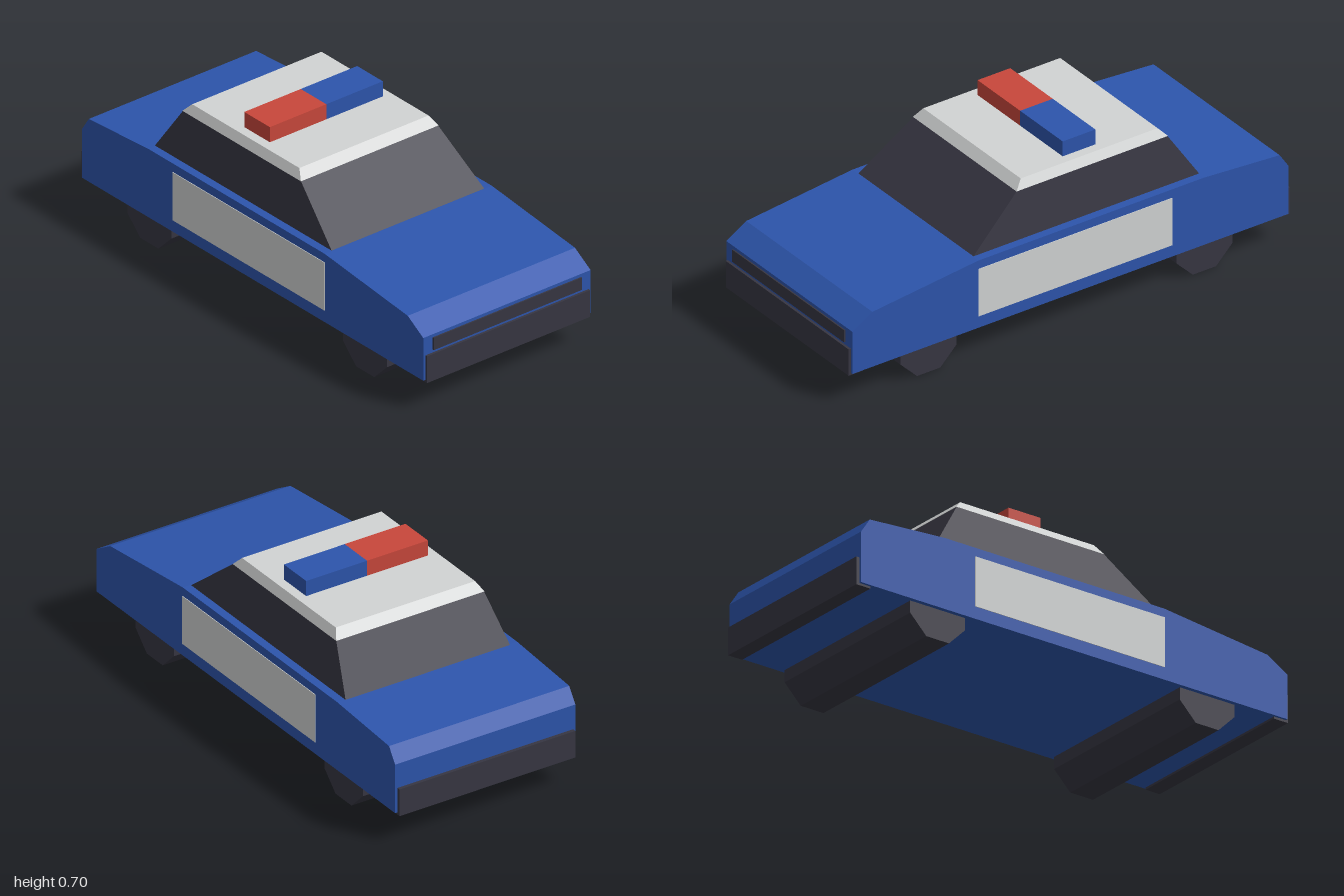
import * as THREE from 'three';

export function createModel() {
  const car = new THREE.Group();
  car.name = 'patrolCar';

  const material = (name, color) => {
    const m = new THREE.MeshStandardMaterial({ color });
    m.name = name;
    return m;
  };
  const blue = material('blue paint', 0x2d55ac);
  const dark = material('dark trim', 0x373642);
  const light = material('light grey paint', 0xd2d4d4);
  const red = material('red lamp', 0xc8473b);

  const add = (name, geometry, mat) => {
    const mesh = new THREE.Mesh(geometry, mat);
    mesh.name = name;
    car.add(mesh);
    return mesh;
  };

  // Box given by its limits on each axis
  const box = (name, mat, [x0, x1], [y0, y1], [z0, z1]) => {
    const g = new THREE.BoxGeometry(x1 - x0, y1 - y0, z1 - z0);
    g.translate((x0 + x1) / 2, (y0 + y1) / 2, (z0 + z1) / 2);
    return add(name, g, mat);
  };

  // Box whose top rectangle differs from its bottom one: { y, x: half width, back, front }
  const taperedBox = (name, mat, bottom, top) => {
    const g = new THREE.BoxGeometry(1, 1, 1);
    const p = g.attributes.position;
    for (let i = 0; i < p.count; i++) {
      const end = p.getY(i) > 0 ? top : bottom;
      p.setXYZ(i, Math.sign(p.getX(i)) * end.x, end.y, p.getZ(i) > 0 ? end.front : end.back);
    }
    g.computeVertexNormals();
    return add(name, g, mat);
  };

  // Body: side profile (z, y) extruded across the width
  const profile = [
    [0.99, 0.124], [0.99, 0.305], [0.9, 0.36], [0.42, 0.413],
    [-0.6, 0.413], [-0.945, 0.39], [-0.985, 0.33], [-0.985, 0.124],
  ];
  const shape = new THREE.Shape(profile.map(([z, y]) => new THREE.Vector2(-z, y)));
  const body = new THREE.ExtrudeGeometry(shape, { depth: 0.8, bevelEnabled: false });
  body.translate(0, 0, -0.4).rotateY(Math.PI / 2);
  add('body', body, blue);

  // Cabin glass and roof
  taperedBox('cabinGlass', dark,
    { y: 0.413, x: 0.365, back: -0.605, front: 0.417 },
    { y: 0.597, x: 0.328, back: -0.488, front: 0.195 });
  taperedBox('roof', light,
    { y: 0.597, x: 0.329, back: -0.49, front: 0.196 },
    { y: 0.632, x: 0.309, back: -0.457, front: 0.163 });

  // Light bar
  box('redLamp', red, [-0.27, 0], [0.632, 0.696], [-0.203, -0.055]);
  box('blueLamp', blue, [0, 0.27], [0.632, 0.696], [-0.203, -0.055]);

  // Door panels
  for (const [side, s] of [['left', 1], ['right', -1]]) {
    const panel = box(`${side}DoorPanel`, light, [-0.002, 0.002], [0.174, 0.377], [-0.458, 0.42]);
    panel.position.x = s * 0.4005;
  }

  // Bumpers and grille
  box('frontBumper', dark, [-0.39, 0.39], [0.115, 0.228], [0.935, 1]);
  box('rearBumper', dark, [-0.39, 0.39], [0.115, 0.228], [-1, -0.935]);
  box('grille', dark, [-0.355, 0.355], [0.24, 0.292], [0.96, 0.996]);

  // Full-width eight-sided wheel pairs
  for (const [name, z] of [['frontWheels', 0.632], ['rearWheels', -0.617]]) {
    const radius = 0.127 / Math.cos(Math.PI / 8);
    let g = new THREE.CylinderGeometry(radius, radius, 0.764, 8);
    g.rotateY(Math.PI / 8).rotateZ(Math.PI / 2);
    g = g.toNonIndexed();
    g.computeVertexNormals();
    add(name, g, dark).position.set(0, 0.127, z);
  }

  return car;
}
